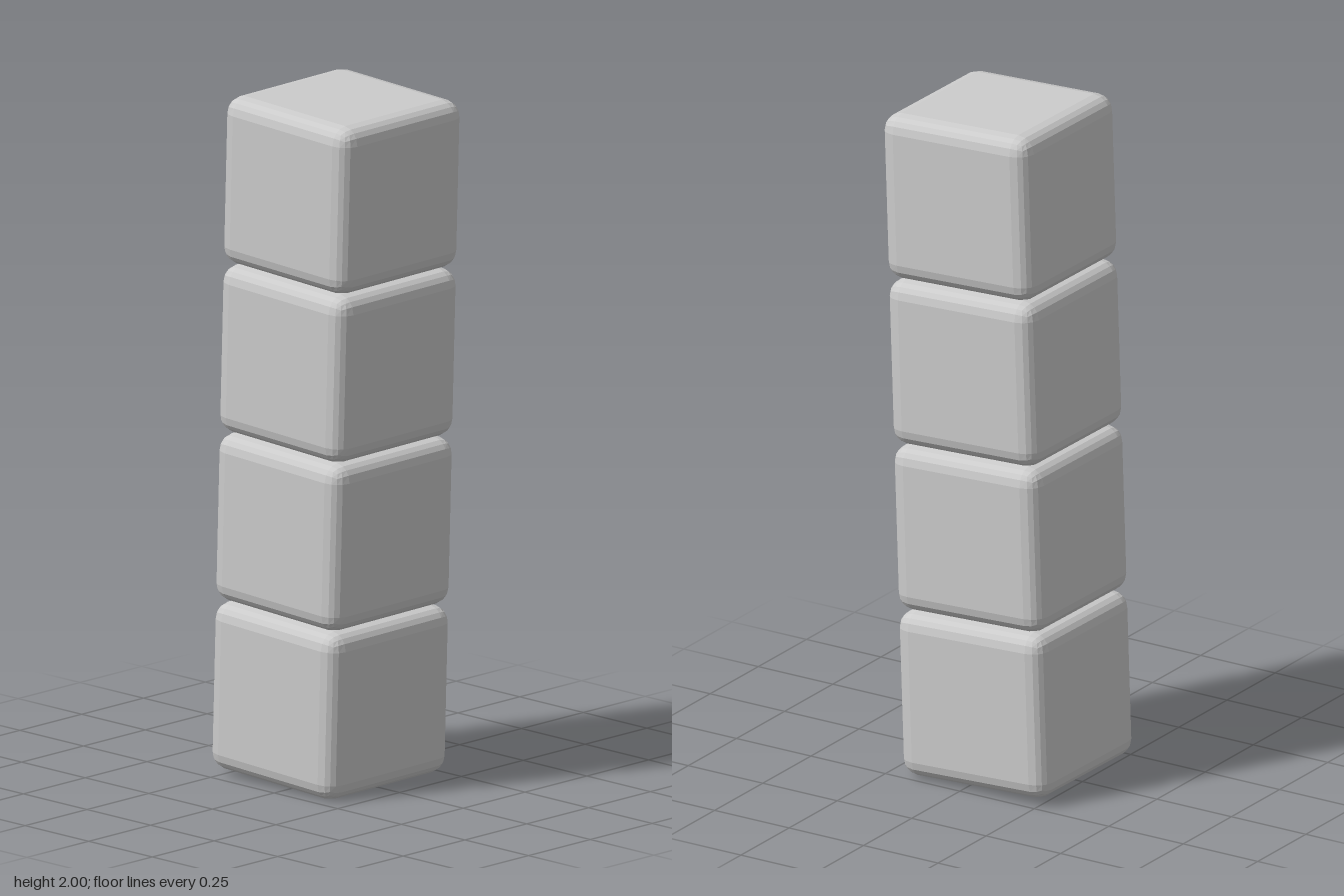
import * as THREE from 'three';
import { RoundedBoxGeometry } from 'three/addons/geometries/RoundedBoxGeometry.js';

const COUNT = 4;
const SIZE = 0.492;
const PITCH = 0.496;
const RADIUS = 0.05;

export function createModel() {
  const model = new THREE.Group();
  model.name = 'blockTower';

  const material = new THREE.MeshStandardMaterial({ color: 0xcccccc, flatShading: true });
  const geometry = new RoundedBoxGeometry(SIZE, SIZE, SIZE, 2, RADIUS);

  // Column of identical rounded cubes, stacked about its own centre
  const column = new THREE.Group();
  column.name = 'column';
  for (let i = 0; i < COUNT; i++) {
    const block = new THREE.Mesh(geometry, material);
    block.name = `block${i + 1}`;
    block.position.y = (i - (COUNT - 1) / 2) * PITCH;
    column.add(block);
  }

  // The whole column leans slightly forward and to its right
  column.rotation.set(THREE.MathUtils.degToRad(2.35), 0, THREE.MathUtils.degToRad(0.6));
  column.position.y = 1;
  model.add(column);
  return model;
}
